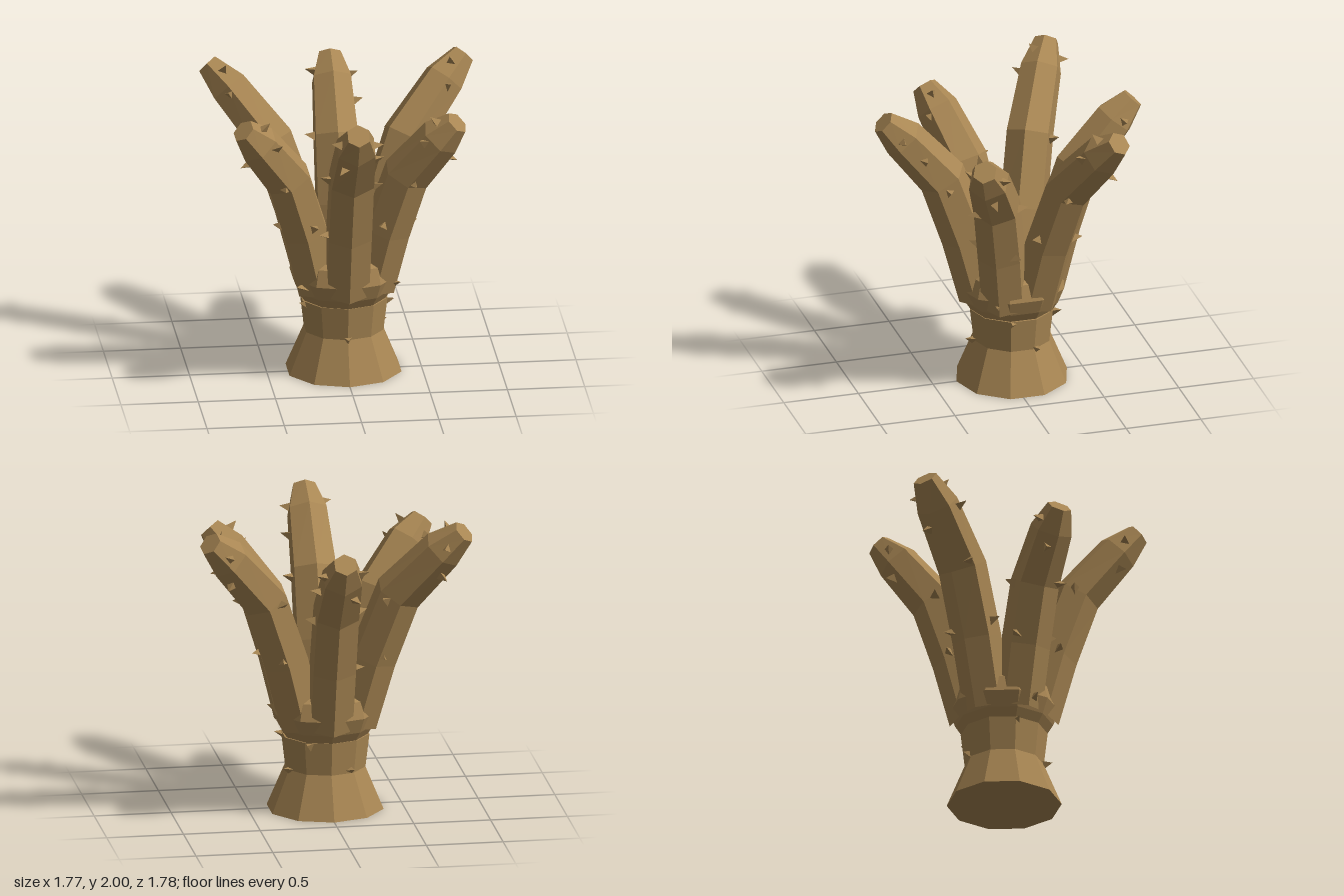
import * as THREE from 'three';

const tan = new THREE.MeshStandardMaterial({ color: 0xa88653, flatShading: true });
tan.name = 'tan';

const CENTER_Z = -0.027;
const SIDES = 6;

// Each finger: heading, tip reach and height, and thorns as [place along the finger, angle around it]
const sideThorns = [[1.15, 0.9], [1.2, -1.5], [1.95, 1.7], [2.1, -0.9], [2.75, 0.4], [2.9, -1.9], [3.4, 1.4], [3.5, -2.6]];
const midThorns = [[1.05, -1.3], [1.9, 1.5], [2.0, -1.6], [2.6, 1.6], [2.75, -0.6], [3.2, 1.5], [3.35, -1.5]];
const FINGERS = [
  { heading: 0, reach: 0.86, height: 1.9, thorns: midThorns },
  { heading: 61, reach: 0.79, height: 1.79, thorns: sideThorns },
  { heading: 120, reach: 0.955, height: 1.94, thorns: sideThorns },
  { heading: 180, reach: 0.81, height: 1.855, thorns: midThorns.map(([t, a]) => [t, -a]) },
  { heading: -120, reach: 0.955, height: 1.94, thorns: sideThorns.map(([t, a]) => [t, -a]) },
  { heading: -61, reach: 0.79, height: 1.79, thorns: sideThorns.map(([t, a]) => [t, -a]) },
];

function add(parent, geometry, name) {
  const mesh = new THREE.Mesh(geometry, tan);
  mesh.name = name;
  parent.add(mesh);
  return mesh;
}

// Three-sided thorn standing on a surface point, leaning a little upwards
function addThorn(parent, point, outward, turn) {
  const cone = new THREE.ConeGeometry(0.042, 0.085, 3);
  cone.translate(0, 0.02, 0);
  cone.rotateY(turn);
  const thorn = add(parent, cone, 'thorn');
  thorn.position.copy(point);
  const lean = outward.clone().add(new THREE.Vector3(0, 0.25, 0)).normalize();
  thorn.quaternion.setFromUnitVectors(new THREE.Vector3(0, 1, 0), lean);
}

// Rings along a curve that bends outwards in the local yz plane
function fingerRings(reach, height) {
  const steps = [[0, 0, 0.155], [0.17, 0.33, 0.16], [0.4, 0.66, 0.158], [0.8, 0.9, 0.138], [1, 1, 0.08]];
  const centers = steps.map(([r, h]) =>
    new THREE.Vector3(0, 0.6 + h * (height - 0.6), 0.2 + r * (reach - 0.2)));
  return steps.map(([, , radius], i) => {
    const t = centers[Math.min(i + 1, 4)].clone().sub(centers[Math.max(i - 1, 0)]).normalize();
    return { center: centers[i], radius, out: new THREE.Vector3(0, -t.z, t.y) };
  });
}

function around(ring, angle) {
  return ring.out.clone().multiplyScalar(Math.cos(angle)).add(new THREE.Vector3(Math.sin(angle), 0, 0));
}

function fingerGeometry(rings) {
  const positions = [], index = [];
  for (const ring of rings) {
    for (let j = 0; j < SIDES; j++) {
      const p = around(ring, (j / SIDES) * Math.PI * 2).multiplyScalar(ring.radius).add(ring.center);
      positions.push(p.x, p.y, p.z);
    }
  }
  for (let i = 0; i < rings.length - 1; i++) {
    for (let j = 0; j < SIDES; j++) {
      const k = (j + 1) % SIDES;
      const a = i * SIDES + j, b = i * SIDES + k;
      index.push(a, b, b + SIDES, a, b + SIDES, a + SIDES);
    }
  }
  // flat tip
  const last = (rings.length - 1) * SIDES;
  for (let j = 1; j < SIDES - 1; j++) index.push(last, last + j, last + j + 1);
  const geometry = new THREE.BufferGeometry();
  geometry.setAttribute('position', new THREE.Float32BufferAttribute(positions, 3));
  geometry.setIndex(index);
  const flat = geometry.toNonIndexed();
  flat.computeVertexNormals();
  return flat;
}

function buildFinger({ heading, reach, height, thorns }) {
  const finger = new THREE.Group();
  finger.name = 'finger';
  finger.rotation.y = THREE.MathUtils.degToRad(heading);
  const rings = fingerRings(reach, height);
  add(finger, fingerGeometry(rings), 'fingerStalk');
  thorns.forEach(([t, angle], n) => {
    const i = Math.floor(t), f = t - i;
    const a = rings[i], b = rings[i + 1];
    const out = around({ out: a.out.clone().lerp(b.out, f).normalize() }, angle);
    const radius = THREE.MathUtils.lerp(a.radius, b.radius, f) * 0.9;
    const point = a.center.clone().lerp(b.center, f).addScaledVector(out, radius);
    addThorn(finger, point, out, n * 1.3);
  });
  return finger;
}

export function createModel() {
  const model = new THREE.Group();
  model.name = 'spinyBranchingSponge';
  const body = new THREE.Group();
  body.name = 'body';
  body.position.z = CENTER_Z;
  model.add(body);

  // Ten-sided foot and waist
  const trunkProfile = [[0, 0], [0.37, 0], [0.255, 0.28], [0.28, 0.5], [0, 0.52]];
  const trunk = add(body, new THREE.LatheGeometry(
    trunkProfile.map(([r, y]) => new THREE.Vector2(r, y)), 10), 'trunk');
  trunk.scale.x = 1.03;

  // Swollen collar with a domed top between the fingers
  const collarProfile = [[0, 0.47], [0.27, 0.49], [0.315, 0.56], [0.355, 0.66], [0.325, 0.77], [0.2, 0.85], [0, 0.88]];
  add(body, new THREE.LatheGeometry(
    collarProfile.map(([r, y]) => new THREE.Vector2(r, y)), 10), 'collar');

  for (const spec of FINGERS) body.add(buildFinger(spec));

  // Thorns on the trunk and collar: heading, height, radius
  const trunkThorns = [
    [0, 0.28, 0.25], [75, 0.48, 0.27], [110, 0.28, 0.25], [150, 0.48, 0.27],
    [-70, 0.48, 0.26], [-55, 0.63, 0.34], [60, 0.63, 0.34], [-150, 0.3, 0.24],
  ];
  trunkThorns.forEach(([heading, y, radius], n) => {
    const a = THREE.MathUtils.degToRad(heading);
    const out = new THREE.Vector3(Math.sin(a), 0, Math.cos(a));
    addThorn(body, out.clone().multiplyScalar(radius).setY(y), out, n * 0.9);
  });
  return model;
}
